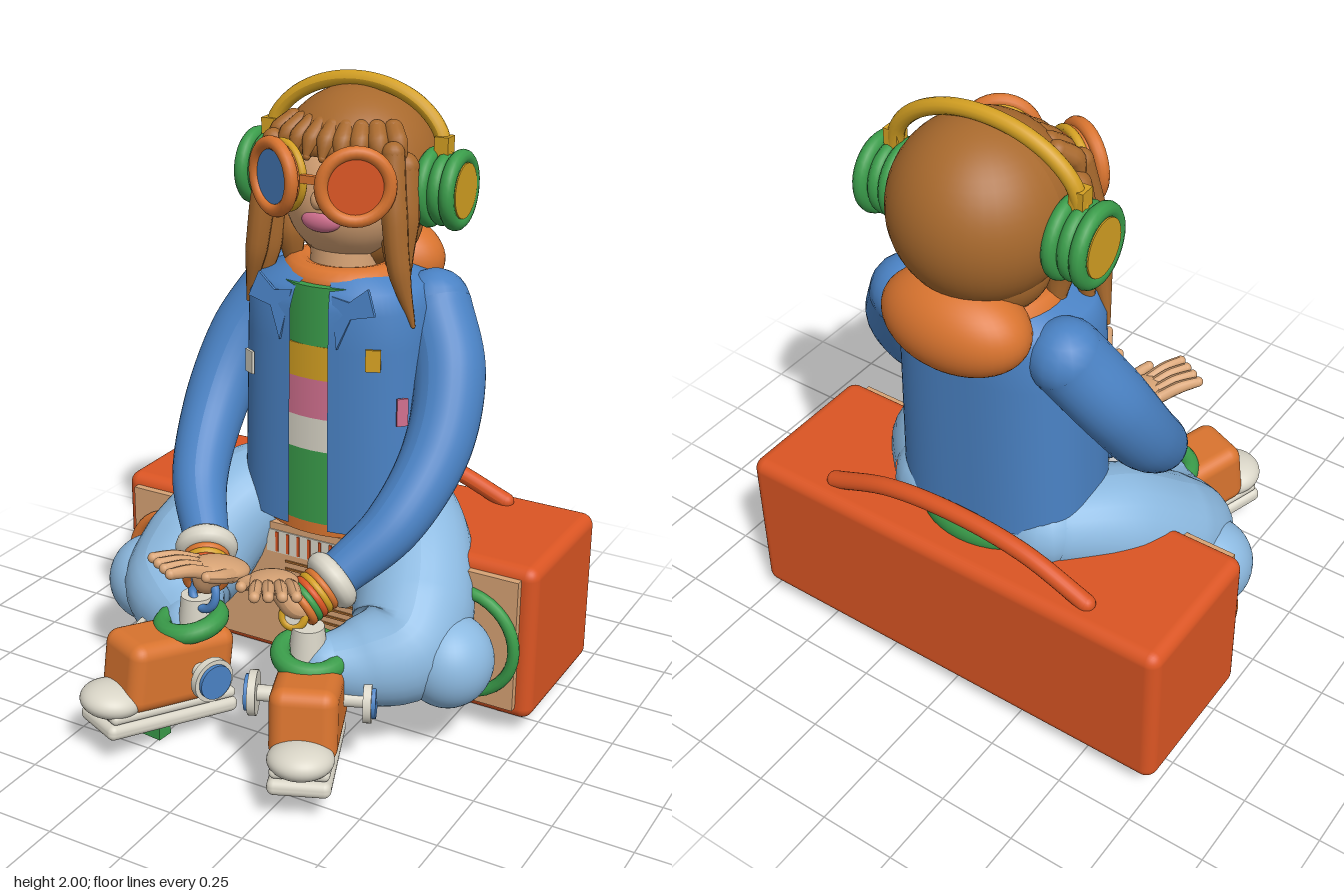
import * as THREE from 'three';
import { RoundedBoxGeometry } from 'three/addons/geometries/RoundedBoxGeometry.js';

const V = (x, y, z) => new THREE.Vector3(x, y, z);

export function createModel() {
  const root = new THREE.Group();
  const mat = (name, color) => {
    const m = new THREE.MeshStandardMaterial({ color });
    m.name = name;
    return m;
  };
  const red = mat('red orange', 0xdb5523), orange = mat('orange', 0xd9742f), brown = mat('hair brown', 0xa8692d);
  const denim = mat('denim blue', 0x4a82c4), sky = mat('light blue', 0x8cb9e0), green = mat('green', 0x3a9c4a);
  const yellow = mat('yellow', 0xd4a022), pink = mat('pink', 0xd2708f), white = mat('off white', 0xd9d5c7);
  const skin = mat('skin tan', 0xd7a375);
  denim.side = THREE.DoubleSide;

  // Helpers
  const add = (name, geo, m, p = V(0, 0, 0), parent = root) => {
    const mesh = new THREE.Mesh(geo, m);
    mesh.name = name;
    mesh.position.copy(p);
    parent.add(mesh);
    return mesh;
  };
  const ball = (name, m, p, rx, ry, rz, parent) => add(name, new THREE.SphereGeometry(1, 40, 28).scale(rx, ry, rz), m, p, parent);
  const box = (name, m, p, w, h, d, parent) => add(name, new THREE.BoxGeometry(w, h, d), m, p, parent);
  const rbox = (name, m, p, w, h, d, r, parent) => add(name, new RoundedBoxGeometry(w, h, d, 4, r), m, p, parent);
  const aim = (mesh, dir) => mesh.quaternion.setFromUnitVectors(V(0, 0, 1), dir.clone().normalize());
  const ring = (name, m, p, dir, R, r, parent) => aim(add(name, new THREE.TorusGeometry(R, r, 12, 36), m, p, parent), dir);
  const disc = (name, m, p, dir, r, h, parent) =>
    aim(add(name, new THREE.CylinderGeometry(r, r, h, 32).rotateX(Math.PI / 2), m, p, parent), dir);
  // Tube whose radius changes along the path, with rounded ends
  const limb = (name, m, pts, radii, parent, seg = 28, sides = 20) => {
    const curve = new THREE.CatmullRomCurve3(pts);
    const geo = new THREE.TubeGeometry(curve, seg, 1, sides);
    const pos = geo.attributes.position, v = V();
    for (let i = 0; i <= seg; i++) {
      const t = curve.getUtoTmapping(i / seg), c = curve.getPoint(t);
      const f = t * (radii.length - 1), k = Math.min(Math.floor(f), radii.length - 2);
      const r = THREE.MathUtils.lerp(radii[k], radii[k + 1], f - k);
      for (let j = 0; j <= sides; j++) {
        const n = i * (sides + 1) + j;
        v.fromBufferAttribute(pos, n).sub(c).multiplyScalar(r).add(c);
        pos.setXYZ(n, v.x, v.y, v.z);
      }
    }
    geo.computeVertexNormals();
    add(name, geo, m, V(0, 0, 0), parent);
    [0, pts.length - 1].forEach((i) => {
      const r = radii[i ? radii.length - 1 : 0];
      add(name + 'End', new THREE.SphereGeometry(r, 16, 12), m, pts[i], parent);
    });
  };

  // Portable radio used as the seat
  rbox('radioBody', red, V(0, 0.32, -0.393), 1.515, 0.53, 0.508, 0.04);
  box('radioPanel', skin, V(0, 0.325, -0.13), 1.42, 0.45, 0.03);
  limb('radioHandle', red, [V(-0.47, 0.59, -0.565), V(-0.25, 0.67, -0.565), V(0, 0.695, -0.565), V(0.25, 0.67, -0.565), V(0.47, 0.59, -0.565)], [0.028, 0.028]);
  for (let i = 0; i < 11; i++) box('grilleLine', brown, V(0.03, 0.15 + i * 0.027, -0.113), 0.28, 0.007, 0.006);
  box('dialPlate', white, V(0, 0.485, -0.114), 0.36, 0.08, 0.006);
  for (let i = 0; i < 8; i++) box('dialMark', red, V(-0.14 + i * 0.04, 0.485, -0.11), 0.01, 0.07, 0.006);
  for (const s of [1, -1]) {
    ring('speakerRing', s > 0 ? green : orange, V(s * 0.535, 0.31, -0.105), V(0, 0, 1), 0.175, 0.019);
    for (const z of [-0.22, -0.57]) add('radioFoot', new THREE.CylinderGeometry(0.04, 0.04, 0.03, 20), red, V(s * 0.64, 0.06, z));
  }

  // Striped shirt
  const stripes = [[0.56, 0.6, orange], [0.6, 0.85, green], [0.85, 0.96, white], [0.96, 1.09, pink], [1.09, 1.2, yellow], [1.2, 1.39, green]];
  for (const [a, b, m] of stripes)
    add('shirtBand', new THREE.CylinderGeometry(0.215, 0.215, b - a, 40).scale(b > 1.3 ? 1 : 1.25, 1, 1), m, V(0, (a + b) / 2, -0.3));
  ball('shirtTail', green, V(0, 0.6, -0.37), 0.24, 0.1, 0.19);

  // Open jacket: rounded-square sections with a gap at the front
  const rows = [[0.62, 0.32, 0.235], [0.9, 0.312, 0.235], [1.2, 0.305, 0.232], [1.32, 0.3, 0.23], [1.38, 0.27, 0.21], [1.42, 0.16, 0.15]];
  const jacket = new THREE.PlaneGeometry(1, 1, 64, rows.length - 1);
  const jp = jacket.attributes.position;
  const bend = (c) => Math.sign(c) * Math.abs(c) ** (2 / 2.6);
  for (let i = 0; i < jp.count; i++) {
    const k = Math.round((jp.getY(i) + 0.5) * (rows.length - 1));
    const [y, rx, rz] = rows[k];
    const a = 0.14 + (jp.getX(i) + 0.5) * (2 * Math.PI - 0.28);
    jp.setXYZ(i, rx * bend(Math.sin(a)), k ? y : 0.63 - 0.04 * Math.cos(a), -0.3 + rz * bend(Math.cos(a)));
  }
  jacket.computeVertexNormals();
  add('jacket', jacket, denim);
  box('whitePatch', white, V(-0.235, 1.1, -0.107), 0.042, 0.075, 0.009).rotation.y = -0.5;
  box('yellowPatch', yellow, V(0.21, 1.185, -0.095), 0.047, 0.07, 0.009).rotation.y = 0.4;
  box('pinkPatch', pink, V(0.287, 1.015, -0.147), 0.036, 0.09, 0.009).rotation.y = 0.8;

  // Hood and neck
  ball('hood', orange, V(0, 1.387, -0.515), 0.235, 0.148, 0.15);
  ring('hoodCollar', orange, V(0, 1.38, -0.32), V(0, 1, 0), 0.155, 0.055);
  add('neck', new THREE.CylinderGeometry(0.1, 0.11, 0.16, 24), skin, V(0, 1.43, -0.29));

  // Hips, legs, arms and hands
  ball('hips', sky, V(0, 0.64, -0.33), 0.33, 0.12, 0.2);
  for (const s of [1, -1]) {
    const P = (x, y, z) => V(s * x, y, z);
    limb('trouserLeg', sky, [P(0.2, 0.62, -0.38), P(0.32, 0.56, -0.2), P(0.4, 0.42, -0.03), P(0.41, 0.34, 0.08), P(0.32, 0.315, 0.18), P(0.25, 0.32, 0.25)],
      [0.14, 0.175, 0.19, 0.175, 0.135, 0.095], root, 36, 28);
    ball('knee', sky, P(0.548, 0.31, 0.025), 0.142, 0.148, 0.148);
    limb('sleeve', denim, [P(0.275, 1.295, -0.385), P(0.37, 1.12, -0.3), P(0.4, 0.92, -0.17), P(0.35, 0.72, 0.02), P(0.23, 0.575, 0.17)],
      [0.113, 0.113, 0.106, 0.09, 0.07], root, 36, 28);

    // Collar flap leaning back against the chest
    const lapel = new THREE.Shape();
    [[0.07, 0.16], [0.13, 0.15], [0.19, 0.2], [0.22, 0.12], [0.14, 0.1], [0.1, 0]].forEach(([x, y], i) => lapel[i ? 'lineTo' : 'moveTo'](s * x, y));
    add('lapel', new THREE.ExtrudeGeometry(lapel, { depth: 0.012, bevelEnabled: false }), denim, V(0, 1.21, -0.073)).rotation.x = -0.15;

    // Cuff and bracelets follow the wrist
    const a = P(0.225, 0.57, 0.18), b = P(0.165, 0.51, 0.28), dir = b.clone().sub(a);
    ring('cuff', white, a, dir, 0.065, 0.034);
    limb('wrist', skin, [a, b, P(0.12, 0.565, 0.3)], [0.045, 0.04, 0.04]);
    [orange, yellow, red, green, orange].forEach((m, i) => ring('bracelet', m, a.clone().lerp(b, 0.32 + i * 0.15), dir, 0.06, 0.014));
    ring('wristBand', s > 0 ? yellow : denim, P(0.16, 0.485, 0.3), V(s * 0.3, 0.2, 1), s > 0 ? 0.033 : 0.055, 0.014);
    if (s > 0) disc('watchFace', white, P(0.16, 0.485, 0.3), V(0.3, 0.2, 1), 0.03, 0.02);

    // Hand with fingers side by side
    const palm = ball('palm', skin, P(0.092, 0.59, 0.31), 0.08, 0.033, 0.1);
    palm.rotation.set(-0.25, s * 0.4, 0, 'YXZ');
    for (let i = 0; i < 4; i++) {
      const x0 = 0.085 + i * 0.027, z0 = 0.385 - i * 0.018, x1 = 0.145 + i * 0.035, z1 = 0.5 - i * 0.021;
      limb('finger', skin, [P(x0, 0.605, z0), P((x0 + x1) / 2, 0.63, (z0 + z1) / 2), P(x1, 0.638, z1)], [0.021, 0.021, 0.017], root, 8, 10);
    }
    limb('thumb', skin, [P(0.04, 0.585, 0.33), P(0.042, 0.605, 0.39), P(0.06, 0.62, 0.435)], [0.025, 0.021, 0.017], root, 8, 10);

    // Ankle and shoe
    add('sock', new THREE.CylinderGeometry(0.05, 0.065, 0.14, 20), white, P(0.2, 0.385, 0.28));
    ring('ankleRing', green, P(0.215, 0.368, 0.295), V(s * 0.15, 1, 0.1), 0.09, 0.032);
    const shoe = new THREE.Group();
    shoe.name = 'shoe';
    shoe.position.copy(P(0.272, 0, 0.412));
    shoe.rotation.set(-0.13, s * 0.4, 0, 'YXZ');
    root.add(shoe);
    rbox('upper', orange, V(0, 0.25, -0.015), 0.205, 0.23, 0.38, 0.045, shoe);
    rbox('soleTop', white, V(0, 0.132, 0), 0.18, 0.035, 0.46, 0.017, shoe);
    rbox('soleBottom', white, V(0, 0.09, 0), 0.19, 0.05, 0.48, 0.022, shoe);
    ball('toeCap', white, V(0, 0.165, 0.185), 0.1, 0.054, 0.1, shoe);
    for (const t of [1, -1]) {
      const x = V(t, 0, 0), at = (d) => V(t * d, 0.255, -0.06);
      disc('sideAxle', white, at(0.13), x, 0.025, 0.1, shoe);
      disc('sideDisc', white, at(0.175), x, 0.07, 0.025, shoe);
      disc('sideHub', denim, at(0.19), x, 0.056, 0.02, shoe);
    }
    box('shoePeg', green, P(0.285, 0.035, 0.415), 0.09, 0.07, 0.055).rotation.y = s * 0.1;
  }

  // Head, turned slightly
  const head = new THREE.Group();
  head.name = 'head';
  head.position.z = -0.36;
  head.rotation.y = 0.04;
  root.add(head);
  // Hair cap, pushed back where the face shows
  const hair = ball('hair', brown, V(0, 1.69, -0.02), 0.262, 0.268, 0.265, head);
  const hp = hair.geometry.attributes.position;
  for (let i = 0; i < hp.count; i++)
    if (hp.getY(i) < 0.08 && Math.abs(hp.getX(i)) < 0.2) hp.setZ(i, Math.min(hp.getZ(i), 0.09));
  hair.geometry.computeVertexNormals();
  ball('backHair', brown, V(0, 1.54, -0.03), 0.21, 0.17, 0.16, head);
  ball('face', skin, V(0, 1.635, 0.035), 0.2, 0.21, 0.215, head);
  ball('nose', skin, V(0, 1.655, 0.25), 0.025, 0.03, 0.025, head);
  ball('lips', pink, V(0, 1.587, 0.232), 0.065, 0.035, 0.027, head);
  // Fringe lying close to the forehead
  for (let i = -4; i <= 4; i++)
    limb('fringe', brown, [V(i * 0.042, 1.855, 0.155 - i * i * 0.004), V(i * 0.05, 1.82, 0.2 - i * i * 0.0045), V(i * 0.055, 1.775, 0.228 - i * i * 0.006)], [0.03, 0.032, 0.012], head, 8, 12);
  limb('headband', yellow, Array.from({ length: 9 }, (_, i) => {
    const t = Math.PI * i / 8;
    return V(-0.3 * Math.cos(t), 1.76 + 0.213 * Math.sin(t), -0.02 * Math.sin(t));
  }), [0.024, 0.024], head, 40, 12);
  box('goggleBridge', orange, V(0, 1.73, 0.305), 0.06, 0.025, 0.02, head);

  for (const s of [1, -1]) {
    const P = (x, y, z) => V(s * x, y, z), out = V(s, 0, 0);
    // Hanging side locks, front to back
    limb('sideLock', brown, [P(0.2, 1.8, 0.16), P(0.222, 1.62, 0.19), P(0.245, 1.45, 0.195), P(0.285, 1.28, 0.175)], [0.035, 0.04, 0.035, 0.007], head, 20, 12);
    limb('sideLock', brown, [P(0.215, 1.75, 0.11), P(0.225, 1.6, 0.13), P(0.225, 1.45, 0.14), P(0.25, 1.31, 0.15)], [0.045, 0.05, 0.035, 0.006], head, 20, 12);
    limb('sideLock', brown, [P(0.2, 1.72, 0.05), P(0.2, 1.6, 0.07), P(0.185, 1.5, 0.08), P(0.18, 1.41, 0.07)], [0.05, 0.055, 0.05, 0.03], head, 20, 12);
    // Goggles angled outward
    const view = V(s * 0.5, 0, 0.866), c = P(0.122, 1.718, 0.255);
    disc('goggleBarrel', orange, c, view, 0.102, 0.05, head);
    ring('goggleRim', orange, c.clone().addScaledVector(view, 0.03), view, 0.102, 0.021, head);
    ring('goggleTrim', yellow, c.clone().addScaledVector(view, -0.012), view, 0.098, 0.014, head);
    disc('lens', s > 0 ? red : denim, c.clone().addScaledVector(view, 0.032), view, 0.087, 0.009, head);
    // Headphone cups
    disc('earCup', green, P(0.305, 1.67, 0), out, 0.1, 0.12, head);
    for (const x of [0.262, 0.305, 0.348]) ring('cupRing', green, P(x, 1.67, 0), out, x === 0.305 ? 0.09 : 0.1, 0.024, head);
    disc('cupPlate', yellow, P(0.364, 1.67, 0), out, 0.085, 0.014, head);
    box('bandClip', yellow, P(0.295, 1.795, 0), 0.045, 0.07, 0.05, head);
  }
  return root;
}
